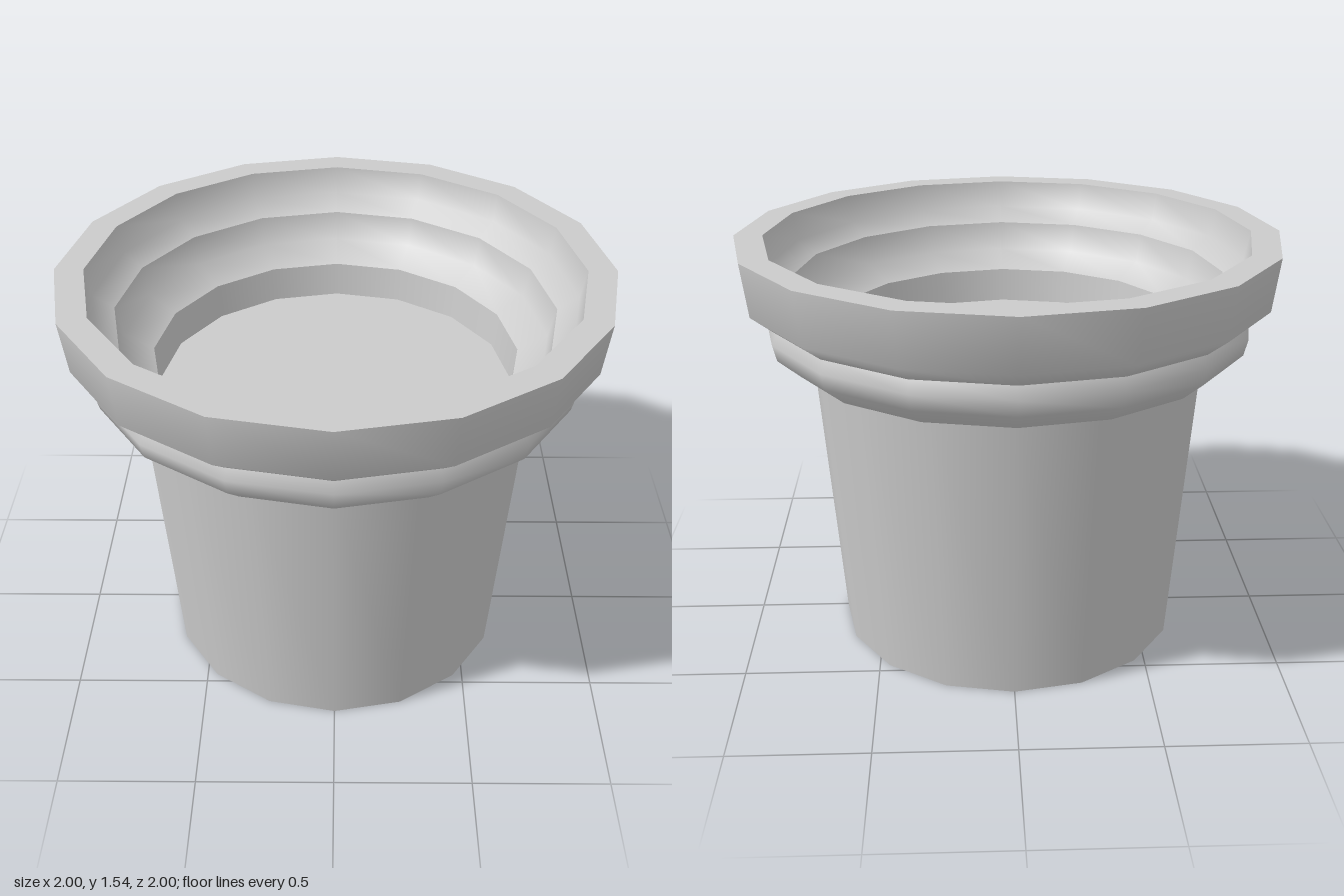
import * as THREE from 'three';

const SIDES = 16;
const material = new THREE.MeshStandardMaterial({ color: 0xcccccc, side: THREE.DoubleSide });

// Revolves a profile of [radius, height] points; each band is smooth, with sharp edges between bands
function band(name, profile) {
  const points = profile.map(([r, y]) => new THREE.Vector2(r, y));
  const mesh = new THREE.Mesh(new THREE.LatheGeometry(points, SIDES), material);
  mesh.name = name;
  return mesh;
}

export function createModel() {
  const pot = new THREE.Group();
  pot.name = 'flowerPot';

  // Outside, from the open foot up to the rim
  pot.add(
    band('taperedWall', [[0.655, 0], [0.74, 1.11]]),
    band('collarUnderside', [[0.74, 1.11], [0.81, 1.11]]),
    band('collar', [[0.81, 1.11], [0.89, 1.18], [0.905, 1.24], [0.88, 1.29]]),
    band('rimUnderside', [[0.88, 1.29], [0.9, 1.29]]),
    band('rimOuter', [[0.9, 1.29], [0.975, 1.35], [1, 1.545]]),
    band('rimTop', [[1, 1.545], [0.895, 1.545]])
  );

  // Inside, stepping down to the raised floor
  pot.add(
    band('rimInner', [[0.895, 1.545], [0.875, 1.44], [0.8, 1.39]]),
    band('collarInner', [[0.8, 1.39], [0.775, 1.28], [0.67, 1.22]]),
    band('neckInner', [[0.67, 1.22], [0.655, 1.09]])
  );

  // Flat floor inside the neck
  const floor = new THREE.Mesh(new THREE.CircleGeometry(0.655, SIDES), material);
  floor.name = 'floor';
  floor.rotation.x = -Math.PI / 2;
  floor.position.y = 1.09;
  pot.add(floor);

  return pot;
}
